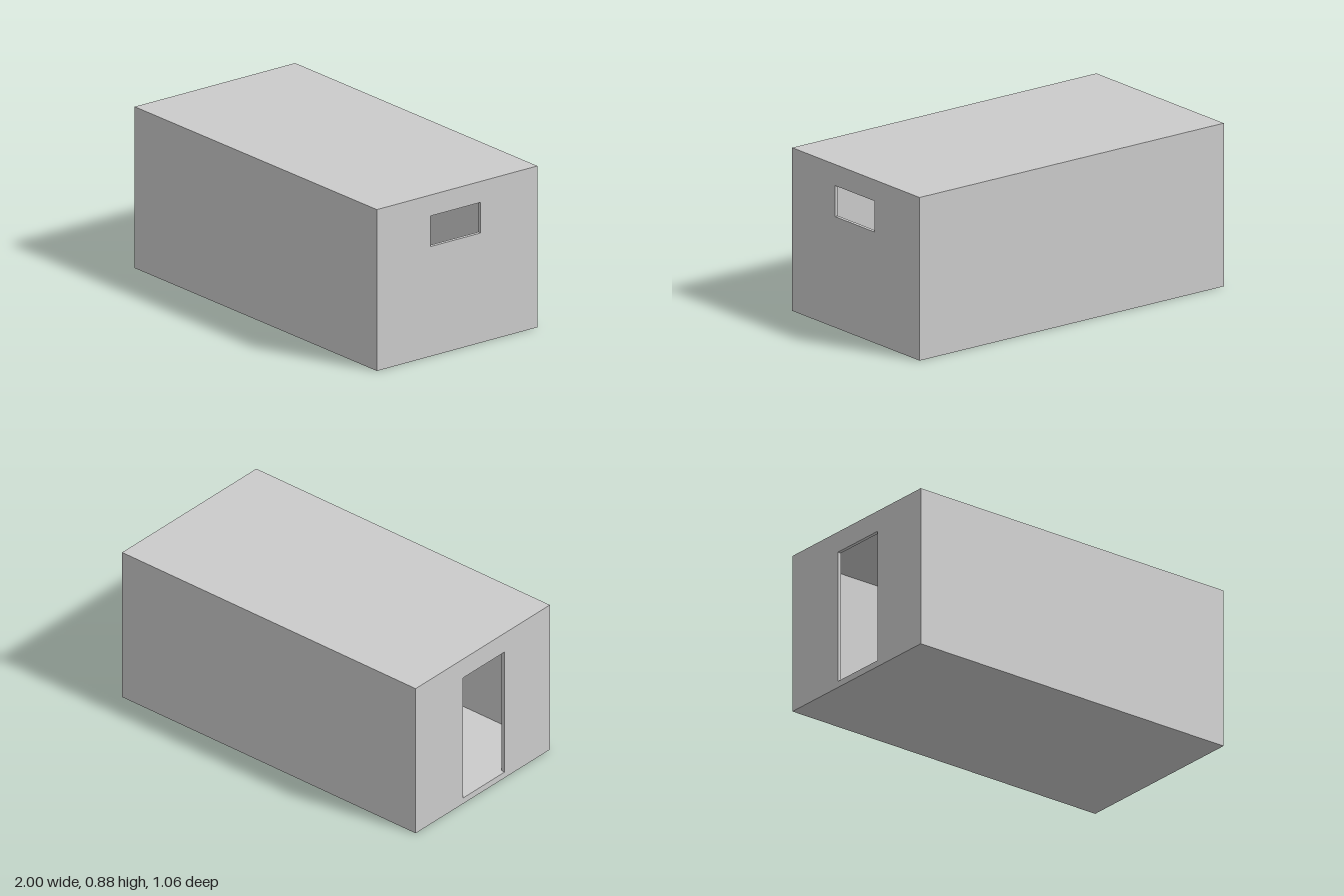
import * as THREE from 'three';

const WALL = 0.02;
const material = new THREE.MeshStandardMaterial({ color: 0xcccccc, flatShading: true });

// Rectangles in the y-z plane: y0, y1, z0, z1
const outer = { y0: 0, y1: 0.885, z0: -0.53, z1: 0.53 };
const inner = { y0: 0.035, y1: 0.865, z0: -0.51, z1: 0.51 };
const windowHole = { y0: 0.602, y1: 0.77, z0: -0.155, z1: 0.175 };
const doorHole = { y0: 0.035, y1: 0.77, z0: -0.155, z1: 0.173 };

// Four-sided sleeve along x, open at both ends, facing inward or outward
function sleeve(name, r, x0, x1, outward = false) {
  const c = [[r.y0, r.z0], [r.y0, r.z1], [r.y1, r.z1], [r.y1, r.z0]];
  const positions = [];
  const index = [];
  c.forEach((a, i) => {
    const b = c[(i + 1) % 4];
    positions.push(x0, ...a, x0, ...b, x1, ...b, x1, ...a);
    const k = i * 4;
    index.push(...(outward
      ? [k, k + 2, k + 1, k, k + 3, k + 2]
      : [k, k + 1, k + 2, k, k + 2, k + 3]));
  });
  const geometry = new THREE.BufferGeometry();
  geometry.setAttribute('position', new THREE.Float32BufferAttribute(positions, 3));
  geometry.setIndex(index);
  geometry.computeVertexNormals();
  return named(name, geometry);
}

// Flat end face at x, facing along dir, with a rectangular opening
function endFace(name, r, hole, x, dir) {
  const points = (q) => [[q.z0, q.y0], [q.z1, q.y0], [q.z1, q.y1], [q.z0, q.y1]]
    .map(([z, y]) => new THREE.Vector2(-dir * z, y));
  const shape = new THREE.Shape(points(r));
  // A sill flush with the floor becomes part of the outline instead of a hole
  if (hole.y0 > r.y0) {
    shape.holes.push(new THREE.Path(points(hole)));
  } else {
    const [a, b] = [-dir * hole.z1, -dir * hole.z0].sort((p, q) => p - q);
    const [l, e] = [-dir * r.z1, -dir * r.z0].sort((p, q) => p - q);
    shape.setFromPoints([
      [l, r.y0], [a, r.y0], [a, hole.y1], [b, hole.y1],
      [b, r.y0], [e, r.y0], [e, r.y1], [l, r.y1],
    ].map((p) => new THREE.Vector2(...p)));
    shape.curves.splice(0, 4);
  }
  const geometry = new THREE.ShapeGeometry(shape);
  geometry.rotateY(dir * Math.PI / 2).translate(x, 0, 0);
  return named(name, geometry);
}

function named(name, geometry) {
  const mesh = new THREE.Mesh(geometry, material);
  mesh.name = name;
  return mesh;
}

export function createModel() {
  const cabin = new THREE.Group();
  cabin.name = 'cabin';

  // Long walls, roof and floor, outside and inside
  cabin.add(sleeve('outerShell', outer, -1, 1, true));
  cabin.add(sleeve('innerShell', inner, -1 + WALL, 1 - WALL));

  // End walls with their openings: window on the left, door on the right
  const ends = [['window', windowHole, 1], ['door', doorHole, -1]];
  for (const [name, hole, side] of ends) {
    const end = new THREE.Group();
    end.name = `${name}Wall`;
    const inside = side * (1 - WALL);
    end.add(endFace(`${name}WallOutside`, outer, hole, side, side));
    end.add(endFace(`${name}WallInside`, inner, hole, inside, -side));
    end.add(sleeve(`${name}Reveal`, hole, Math.min(side, inside), Math.max(side, inside)));
    cabin.add(end);
  }
  return cabin;
}
